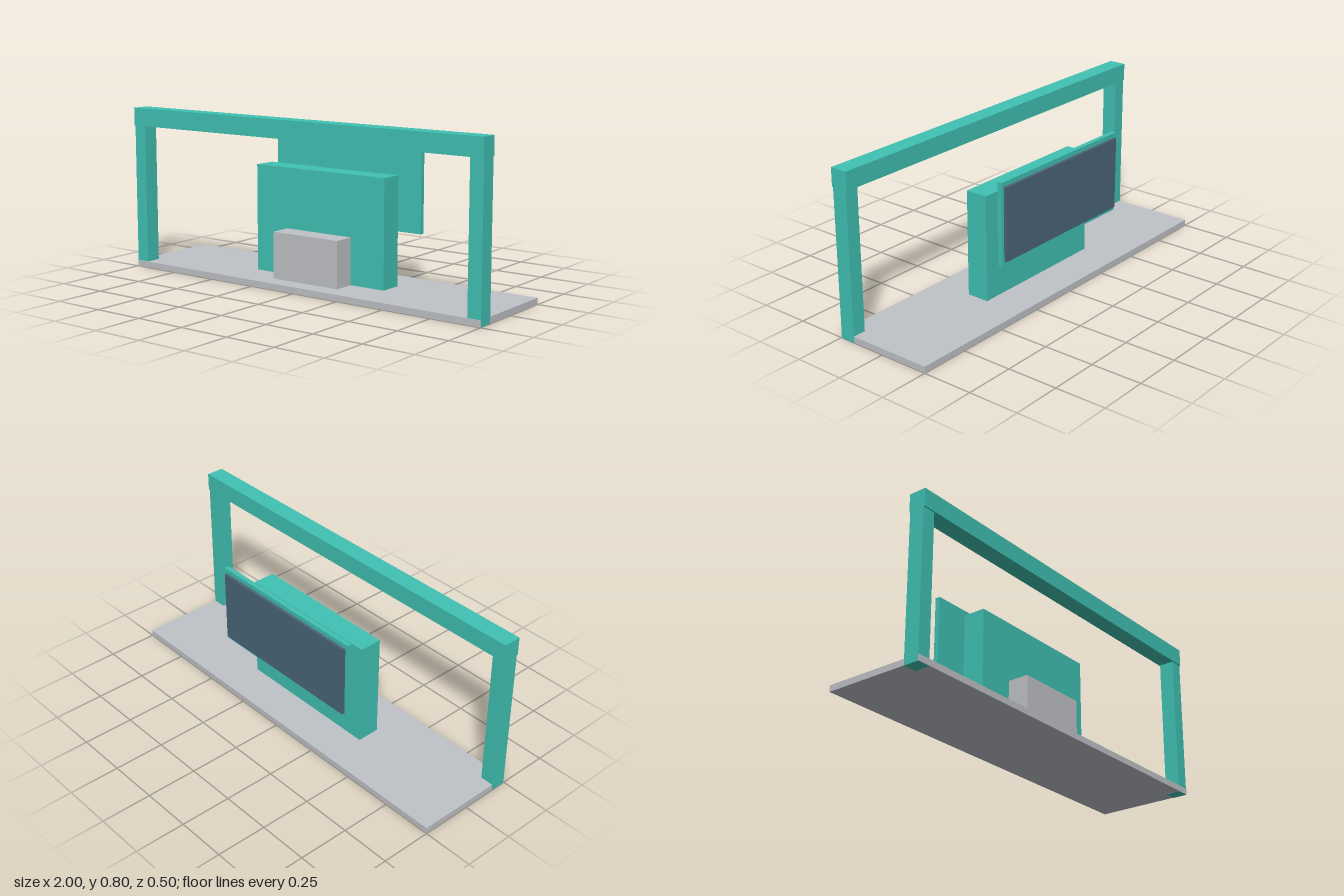
import * as THREE from 'three';

export function createModel() {
  const model = new THREE.Group();
  const paint = (name, color) => {
    const m = new THREE.MeshStandardMaterial({ color });
    m.name = name;
    return m;
  };
  const teal = paint('teal', 0x40c1b3);
  const grey = paint('light grey', 0xbfc2c7);
  const slate = paint('slate blue', 0x4b6678);

  // Box given by its extents along each axis
  const box = (name, material, [x0, x1], [y0, y1], [z0, z1]) => {
    const mesh = new THREE.Mesh(new THREE.BoxGeometry(x1 - x0, y1 - y0, z1 - z0), material);
    mesh.position.set((x0 + x1) / 2, (y0 + y1) / 2, (z0 + z1) / 2);
    mesh.name = name;
    model.add(mesh);
  };

  // Floor slab, a hair smaller than the frame so the post feet show
  box('basePlatform', grey, [-0.999, 0.999], [0.001, 0.031], [-0.25, 0.25]);

  // Front gantry: two posts and a slightly deeper beam
  box('leftPost', teal, [0.933, 1], [0, 0.715], [0.171, 0.247]);
  box('rightPost', teal, [-1, -0.933], [0, 0.715], [0.171, 0.247]);
  box('topBeam', teal, [-1, 1], [0.715, 0.803], [0.166, 0.253]);

  // Central wall with the block in front of it
  box('centreWall', teal, [-0.373, 0.373], [0.031, 0.551], [-0.057, 0.055]);
  box('frontBlock', grey, [-0.187, 0.187], [0.031, 0.257], [0.055, 0.162]);

  // Rear display panel
  box('displayFrame', teal, [-0.425, 0.425], [0.264, 0.664], [-0.193, -0.169]);
  box('displayScreen', slate, [-0.41, 0.41], [0.285, 0.642], [-0.207, -0.193]);

  return model;
}
